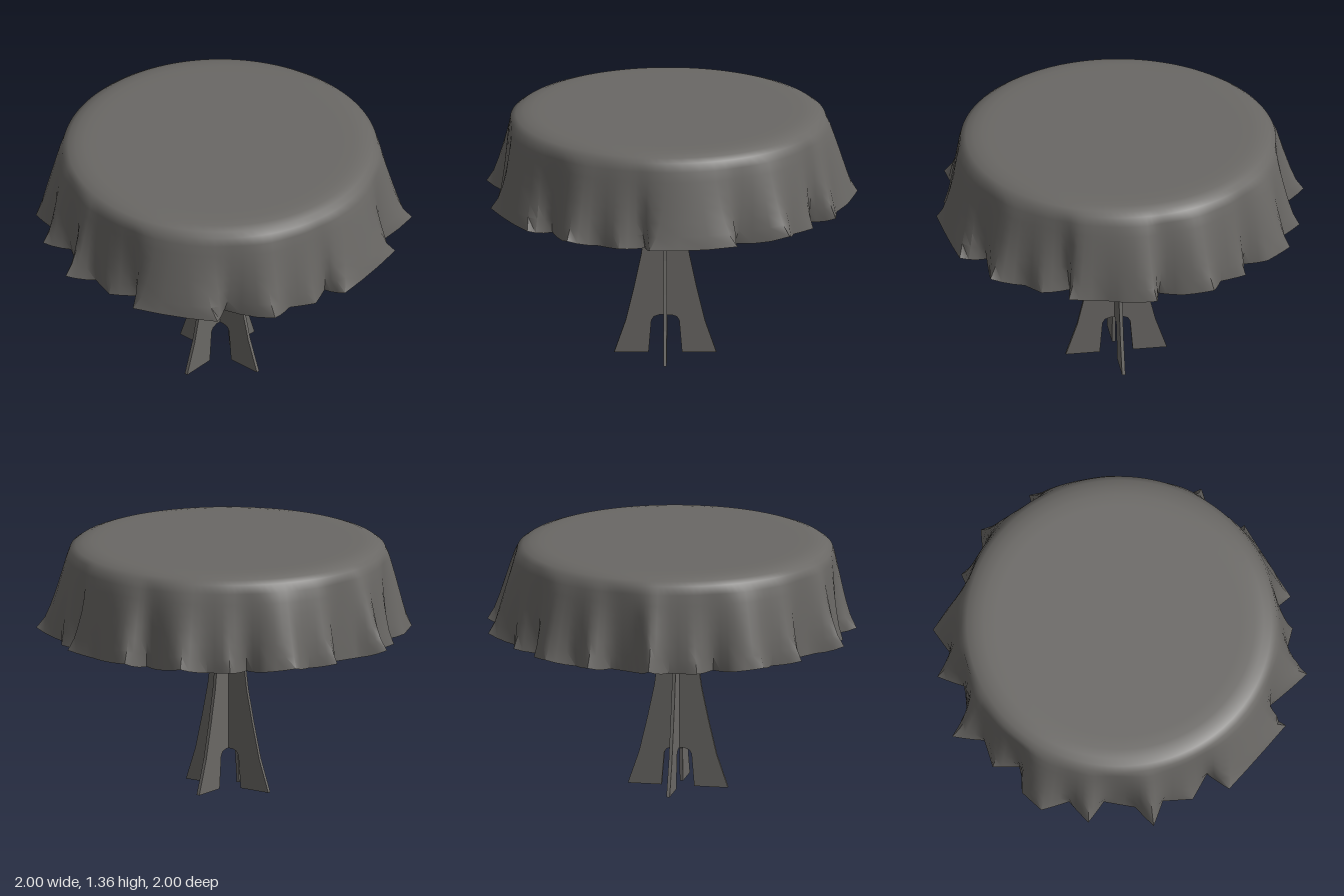
import * as THREE from 'three';
import { toCreasedNormals } from 'three/addons/utils/BufferGeometryUtils.js';

// Hem outline of the cloth seen from above: x, z pairs, tips and valleys of the folds
const HEM = [
  -0.08, -1.0, 0.0, -0.88, 0.06, -0.85, 0.165, -0.81, 0.27, -0.925, 0.36, -0.8,
  0.52, -0.835, 0.61, -0.7, 0.6, -0.56, 0.75, -0.56, 0.77, -0.42, 0.93, -0.36,
  0.9, -0.2, 0.84, -0.07, 1.0, -0.04, 0.95, 0.13, 0.89, 0.24, 0.885, 0.425,
  0.73, 0.39, 0.765, 0.555, 0.66, 0.63, 0.64, 0.815, 0.34, 0.79, 0.36, 0.94,
  -0.115, 0.995, -0.14, 0.87, -0.28, 0.93, -0.39, 0.84, -0.56, 0.885, -0.64, 0.59,
  -0.775, 0.66, -0.975, 0.23, -0.84, 0.16, -0.94, 0.03, -0.88, -0.12, -1.0, -0.23,
  -0.85, -0.27, -0.75, -0.41, -0.83, -0.54, -0.67, -0.58, -0.66, -0.74,
  -0.52, -0.79, -0.38, -0.73, -0.32, -0.87, -0.16, -0.845,
];
const CX = -0.02, CZ = 0.02, RIM = 0.85, RIM_Y = 1.322;
const { lerp } = THREE.MathUtils;

// Subdivide the straight hem edges so the rim above stays round
function hemPoints(steps) {
  const out = [], n = HEM.length / 2;
  for (let i = 0; i < n; i++) {
    const j = (i + 1) % n;
    for (let s = 0; s < steps; s++) {
      const f = s / steps;
      out.push([lerp(HEM[2 * i], HEM[2 * j], f), lerp(HEM[2 * i + 1], HEM[2 * j + 1], f)]);
    }
  }
  return out;
}

// Soften the folds of a closed outline
function soften(points, passes) {
  const n = points.length;
  for (let p = 0; p < passes; p++) {
    const src = points;
    points = src.map((pt, i) => [0, 1].map(
      (k) => pt[k] / 2 + (src[(i + n - 1) % n][k] + src[(i + 1) % n][k]) / 4,
    ));
  }
  return points;
}

// Flat top, rounded rim, then a skirt whose folds sharpen towards the hem
function clothGeometry() {
  const hem = hemPoints(3), n = hem.length;
  const softest = soften(hem, 6);
  const pos = [], idx = [];
  const top = [[0, 1.363], [0.66, 1.363], [0.73, 1.363], [0.78, 1.357], [0.82, 1.343]];
  const drops = [0, 0.1, 0.22, 0.36, 0.52, 0.68, 0.84, 1];
  for (const [r, y] of top) {
    for (const [x, z] of softest) {
      const a = Math.atan2(z - CZ, x - CX);
      pos.push(CX + r * Math.cos(a), y, CZ + r * Math.sin(a));
    }
  }
  for (const t of drops) {
    const f = Math.pow(t, 0.72);
    for (const [x, z] of soften(hem, Math.round(6 * (1 - t)))) {
      const a = Math.atan2(z - CZ, x - CX);
      const flare = Math.max(0, Math.hypot(x - CX, z - CZ) - 0.86);
      pos.push(
        lerp(CX + RIM * Math.cos(a), x, f),
        lerp(RIM_Y, 0.847 + flare * flare * 1.6, t),
        lerp(CZ + RIM * Math.sin(a), z, f),
      );
    }
  }
  const rings = top.length + drops.length;
  for (let k = 0; k < rings - 1; k++) {
    for (let i = 0; i < n; i++) {
      const j = (i + 1) % n;
      const a = k * n + i, b = k * n + j, c = a + n, d = b + n;
      if (k > 0) idx.push(a, b, c);
      idx.push(b, d, c);
    }
  }
  const g = new THREE.BufferGeometry();
  g.setAttribute('position', new THREE.Float32BufferAttribute(pos, 3));
  g.setIndex(idx);
  return toCreasedNormals(g, 1.0);
}

// Flared upright board with an arched notch between its two feet
function legGeometry() {
  const side = [[0.275, 0], [0.213, 0.18], [0.168, 0.37], [0.13, 0.55], [0.107, 0.72], [0.095, 0.86], [0.09, 1.28]];
  const notch = [[0.09, 0], [0.075, 0.18], [0.062, 0.2], [0.035, 0.21]];
  const mirror = (list) => list.map(([x, y]) => [-x, y]);
  const outline = [
    ...side,
    ...mirror(side).reverse(),
    ...mirror(notch),
    ...[...notch].reverse(),
  ];
  const shape = new THREE.Shape(outline.map(([x, y]) => new THREE.Vector2(x, y)));
  const g = new THREE.ExtrudeGeometry(shape, { depth: 0.018, bevelEnabled: false });
  g.translate(0, 0, -0.009);
  return g;
}

export function createModel() {
  const model = new THREE.Group();
  model.name = 'clothCoveredTable';
  const grey = new THREE.MeshStandardMaterial({ color: 0x6a6865, side: THREE.DoubleSide });
  grey.name = 'warm grey';

  const add = (name, geometry, parent = model) => {
    const mesh = new THREE.Mesh(geometry, grey);
    mesh.name = name;
    parent.add(mesh);
    return mesh;
  };

  add('tablecloth', clothGeometry());

  // Round board under the cloth
  const board = add('tabletop', new THREE.CylinderGeometry(0.805, 0.805, 0.06, 64));
  board.position.set(CX, 1.31, CZ);

  // Two boards crossing at right angles
  const pedestal = new THREE.Group();
  pedestal.name = 'pedestal';
  pedestal.position.set(-0.035, 0, 0.028);
  model.add(pedestal);
  const leg = legGeometry();
  add('legBoardAcross', leg, pedestal);
  add('legBoardDeep', leg, pedestal).rotation.y = Math.PI / 2;

  return model;
}
